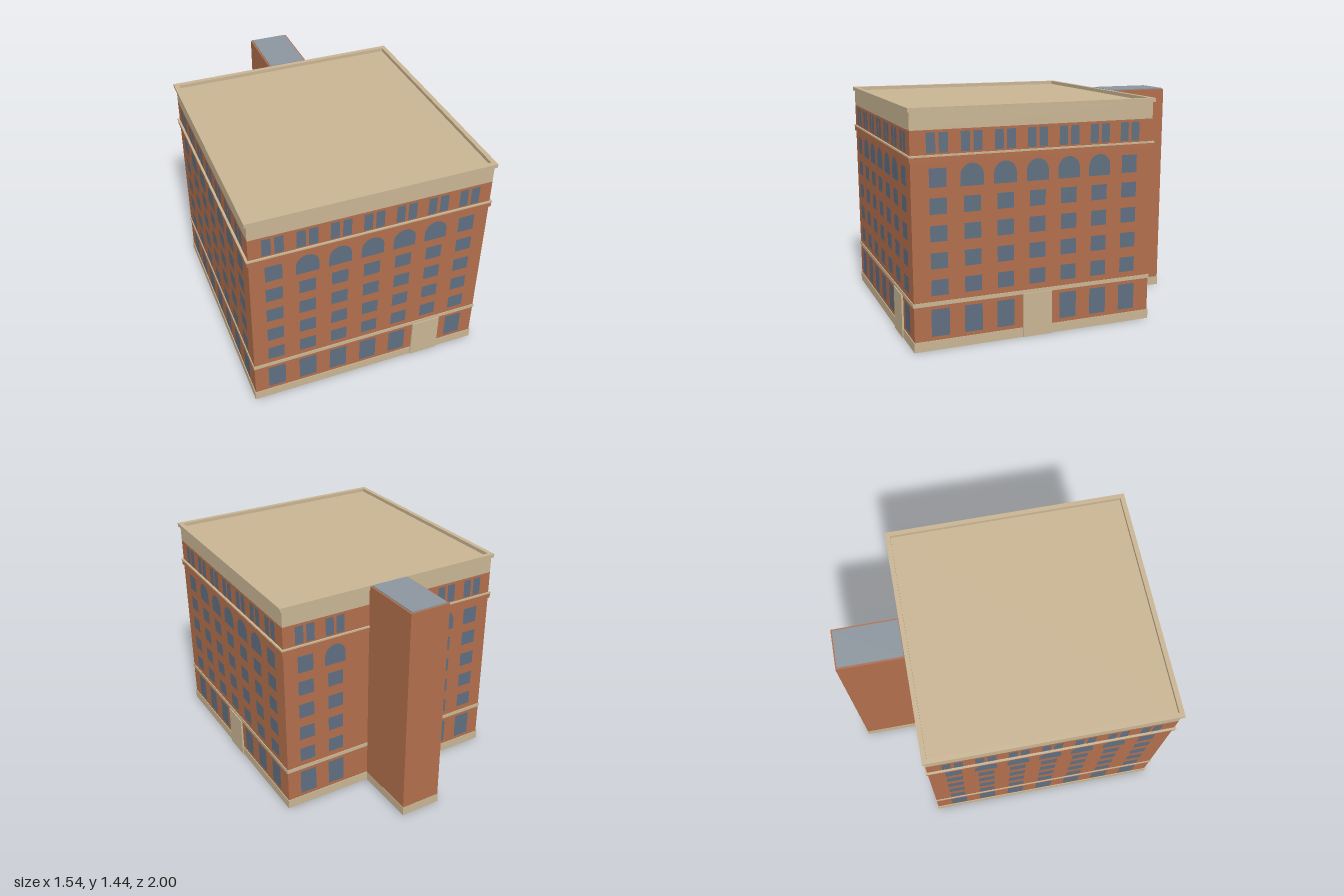
import * as THREE from 'three';

const CZ = 0.2125;            // centre of the main block in z
const HX = 0.758, HZ = 0.777; // half sizes of the wall footprint

const mat = (name, color, side = THREE.FrontSide) => {
  const m = new THREE.MeshStandardMaterial({ color, side });
  m.name = name;
  return m;
};

export function createModel() {
  const brick = mat('brick', 0xb26e4c, THREE.DoubleSide);
  const stone = mat('stone', 0xc8b493);
  const glass = mat('glass', 0x5f6e7f);
  const slate = mat('slate', 0x8c959e);
  const building = new THREE.Group();
  building.name = 'building';

  const add = (parent, name, geo, material, x = 0, y = 0, z = 0) => {
    const mesh = new THREE.Mesh(geo, material);
    mesh.name = name;
    mesh.position.set(x, y, z);
    parent.add(mesh);
    return mesh;
  };

  // Solid slab between two heights, centred on (cx, cz)
  const slab = (name, m, hx, hz, y0, y1, cx = 0, cz = CZ) =>
    add(building, name, new THREE.BoxGeometry(hx * 2, y1 - y0, hz * 2), m, cx, (y0 + y1) / 2, cz);

  // Hollow rectangular ring of thickness t, open at top and bottom
  const ring = (name, m, hx, hz, t, y0, y1, cx = 0, cz = CZ) => {
    const rect = (P, a, b) => new P([[-a, -b], [a, -b], [a, b], [-a, b]].map(p => new THREE.Vector2(...p)));
    const s = rect(THREE.Shape, hx, hz);
    s.holes.push(rect(THREE.Path, hx - t, hz - t));
    const g = new THREE.ExtrudeGeometry(s, { depth: y1 - y0, bevelEnabled: false });
    g.rotateX(-Math.PI / 2);
    return add(building, name, g, m, cx, y0, cz);
  };

  // Main block, from the ground up
  ring('basePlinth', stone, HX + 0.005, HZ + 0.005, 0.015, 0, 0.06);
  ring('walls', brick, HX, HZ, 0.01, 0.06, 1.31);
  slab('stringCourse', stone, HX + 0.005, HZ + 0.005, 0.275, 0.299);
  slab('midBand', brick, HX + 0.01, HZ + 0.008, 1.128, 1.158);
  slab('midBandCap', stone, HX + 0.014, HZ + 0.0105, 1.158, 1.168);
  slab('frieze', stone, HX, HZ, 1.31, 1.415);
  ring('cornice', stone, HX + 0.014, HZ + 0.0105, 0.03, 1.414, 1.438);

  // Rear stair tower
  const tx = 0.036, tz = -0.782;
  ring('towerWalls', brick, 0.134, 0.215, 0.01, 0, 1.425, tx, tz);
  ring('towerBase', stone, 0.136, 0.218, 0.002, 0, 0.06, tx, tz);
  slab('towerTop', brick, 0.134, 0.215, 1.42, 1.433, tx, tz);
  slab('towerRoof', slate, 0.123, 0.205, 1.433, 1.44, tx, tz - 0.001);

  // Window shapes
  const pane = (w, h) => new THREE.PlaneGeometry(w, h);
  const groundPane = pane(0.112, 0.168);
  const floorPane = pane(0.104, 0.096);
  const upperPane = pane(0.104, 0.112);
  const narrowPane = pane(0.055, 0.117);
  const r = 0.0715;
  const arch = new THREE.Shape();
  arch.moveTo(-r, 0);
  arch.lineTo(r, 0);
  arch.lineTo(r, 0.062);
  arch.absarc(0, 0.062, r, 0, Math.PI, false);
  arch.closePath();
  const archPane = new THREE.ShapeGeometry(arch, 12);

  // One facade of seven window bays; door is the bay index of an entrance
  const facade = (name, angle, dist, spacing, { door = -1, skip = [] } = {}) => {
    const side = new THREE.Group();
    side.name = name;
    side.rotation.y = angle;
    side.position.z = CZ;
    building.add(side);
    const z = dist + 0.003;
    for (let i = 0; i < 7; i++) {
      if (skip.includes(i)) continue;
      const x = (i - 3) * spacing;
      if (i === door) {
        add(side, 'door', new THREE.BoxGeometry(0.19, 0.278, 0.03), stone, x, 0.139, dist - 0.003);
      } else {
        add(side, 'groundWindow', groundPane, glass, x, 0.169, z);
      }
      for (let f = 0; f < 4; f++) add(side, 'floorWindow', floorPane, glass, x, 0.384 + f * 0.162, z);
      if (i === 0 || i === 6) add(side, 'upperWindow', upperPane, glass, x, 1.035, z);
      else add(side, 'archedWindow', archPane, glass, x, 0.975, z);
      for (const s of [-1, 1]) add(side, 'atticWindow', narrowPane, glass, x + s * 0.0375, 1.237, z);
    }
  };

  facade('frontFacade', 0, HZ, 0.2045, { door: 5 });
  facade('leftFacade', Math.PI / 2, HX, 0.206, { door: 3 });
  facade('backFacade', Math.PI, HZ, 0.2045, { skip: [2, 3] }); // bays behind the tower
  facade('rightFacade', -Math.PI / 2, HX, 0.206);

  return building;
}
